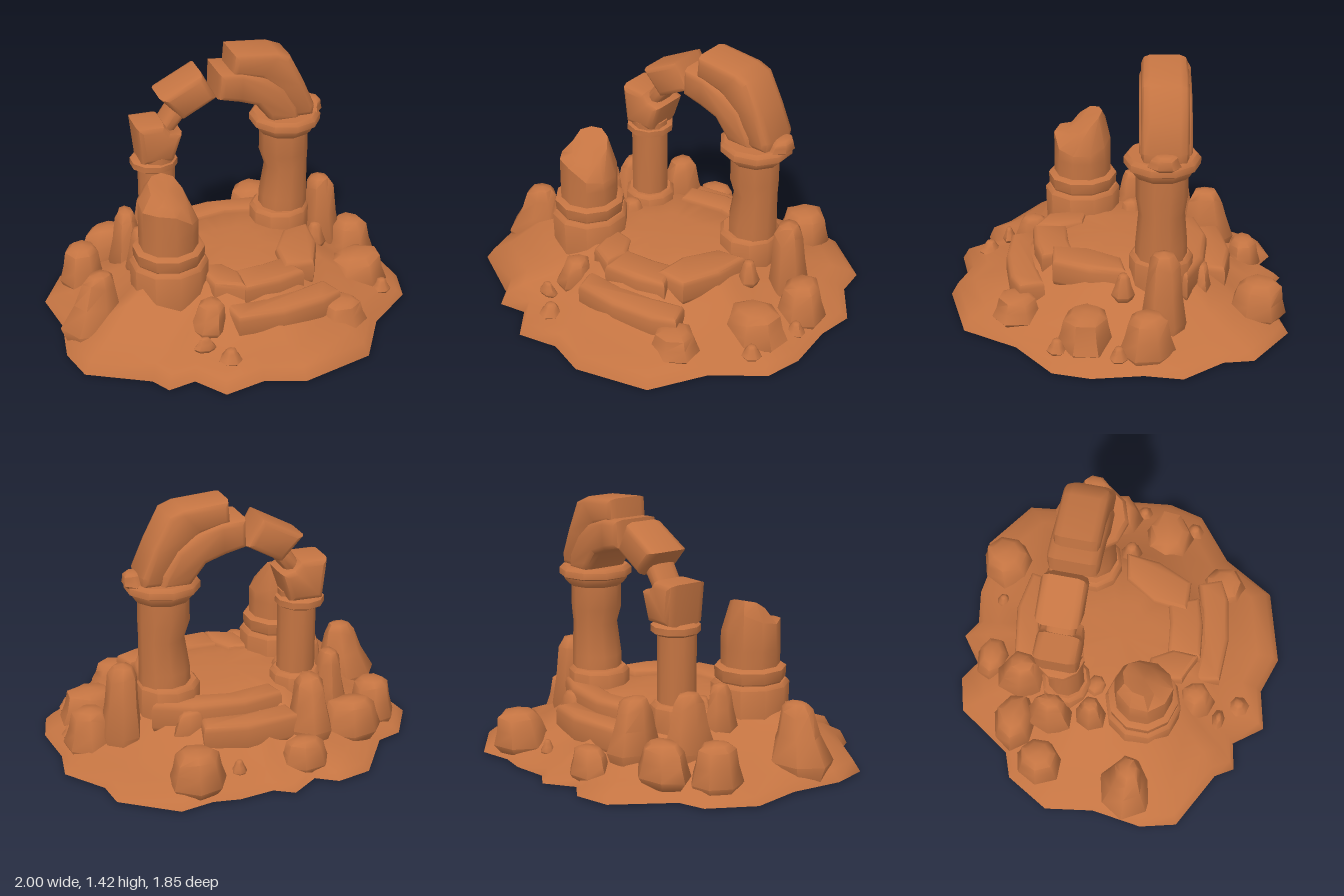
import * as THREE from 'three';
import { toCreasedNormals } from 'three/addons/utils/BufferGeometryUtils.js';

const hash = (n) => { const s = Math.sin(n * 127.1 + 3.7) * 43758.5453; return s - Math.floor(s); };

// Skin over stacked rings of points, with end caps closed to their centres
function loft(rings, { top = null, bottom = null, crease = 0.8 } = {}) {
  const n = rings[0].length, pos = rings.flat(2), idx = [];
  for (let i = 0; i < rings.length - 1; i++) {
    for (let j = 0; j < n; j++) {
      const a = i * n + j, b = i * n + (j + 1) % n;
      idx.push(a, a + n, b, b, a + n, b + n);
    }
  }
  const cap = (centre, start, flip) => {
    const c = pos.length / 3;
    pos.push(...centre);
    for (let j = 0; j < n; j++) {
      const a = start + j, b = start + (j + 1) % n;
      idx.push(c, flip ? a : b, flip ? b : a);
    }
  };
  if (bottom) cap(bottom, 0, true);
  if (top) cap(top, (rings.length - 1) * n, false);
  const g = new THREE.BufferGeometry();
  g.setAttribute('position', new THREE.Float32BufferAttribute(pos, 3));
  g.setIndex(idx);
  return toCreasedNormals(g, crease);
}

const ring = (x, y, z, rx, rz = rx, n = 10, f = () => 1) => Array.from({ length: n }, (_, j) => {
  const a = (j + 0.5) / n * Math.PI * 2, k = f(j);
  return [x + Math.cos(a) * rx * k, y, z + Math.sin(a) * rz * k];
});

// Round masonry: list of [y, radius, dx]
function drum(x, z, profile) {
  const rings = profile.map(([y, r, dx = 0]) => ring(x + dx, y, z, r));
  const last = profile[profile.length - 1];
  return loft(rings, { bottom: [x, profile[0][0], z], top: [x + (last[2] || 0), last[0], z] });
}

// Chunky boulder: bulging below, narrower leaning top with a soft crown
function rock(seed, x, z, y0, y1, rx, rz, top, lx = 0, lz = 0) {
  const h = y1 - y0, n = 7;
  const f = (j) => 0.98 + 0.14 * hash(seed * 17 + j);
  const levels = [[0, 0.78], [0.22, 1], [0.55, 0.35 + top * 0.65], [0.85, top], [0.97, top * 0.65]];
  const rings = levels.map(([t, s], i) => ring(x + lx * t, y0 + h * t, z + lz * t, rx * s, rz * s, n, f)
    .map(([px, py, pz], j) => [px, py + (i === 3 ? (hash(seed * 5 + j) - 0.6) * h * 0.15 : 0), pz]));
  return loft(rings, { bottom: [x, y0 - 0.015, z], top: [x + lx, y1, z + lz], crease: 1 });
}

// Bevelled slab from an outline
function bevelled(points, thickness, bevel) {
  const shape = new THREE.Shape(points.map(([x, y]) => new THREE.Vector2(x, y)));
  const g = new THREE.ExtrudeGeometry(shape, {
    depth: thickness - 2 * bevel, bevelThickness: bevel, bevelSize: bevel * 0.7, bevelOffset: -bevel * 0.7, bevelSegments: 2,
  });
  return g.translate(0, 0, bevel);
}
const paving = (pts, y0, y1) => toCreasedNormals(
  bevelled(pts.map(([x, z]) => [x, -z]), y1 - y0, 0.035).rotateX(-Math.PI / 2).translate(0, y0, 0), 0.8);
const archStone = (pts, z0, z1) => toCreasedNormals(bevelled(pts, z1 - z0, 0.045).translate(0, 0, z0), 0.8);

export function createModel() {
  const model = new THREE.Group();
  const stone = new THREE.MeshStandardMaterial({ color: 0xc47442 });
  stone.name = 'sandstone';
  stone.side = THREE.DoubleSide;
  const add = (name, geometry) => {
    const m = new THREE.Mesh(geometry, stone);
    m.name = name;
    model.add(m);
  };

  // Ground mound: ragged outline shrinking inward while it rises, open below
  const outline = [
    [1, 0.12], [0.95, 0.32], [0.7, 0.52], [0.53, 0.81], [0.13, 0.92], [-0.08, 0.85], [-0.3, 0.9], [-0.42, 0.74],
    [-0.57, 0.77], [-0.63, 0.67], [-0.95, 0.5], [-1, 0.3], [-0.96, 0.02], [-1, -0.25], [-0.86, -0.49], [-0.72, -0.54],
    [-0.52, -0.84], [-0.33, -0.89], [-0.22, -0.82], [-0.07, -0.93], [0.03, -0.87], [0.22, -0.9], [0.36, -0.88],
    [0.54, -0.92], [0.82, -0.72], [0.84, -0.56], [1, -0.35], [0.97, -0.15]];
  const levels = [[1, 0.015], [0.96, 0.05], [0.86, 0.085], [0.69, 0.15], [0.54, 0.255], [0.43, 0.325], [0.2, 0.345]];
  const mound = levels.map(([s, y], i) => outline.map(([x, z], j) => {
    const px = x * s, pz = z * s, dx = px + 0.58, dz = pz - 0.36;
    const hill = i > 0 ? 0.17 * Math.exp(-dx * dx / (dx > 0 ? 0.025 : 0.07) - dz * dz / 0.055) : 0;
    const lip = i === 1 || i === 2 ? 0.03 * THREE.MathUtils.smoothstep(pz, 0.5, 0.8) : 0;
    const bump = i > 1 && i < 5 ? (hash(i * 31 + j) - 0.5) * 0.025 : 0;
    return [px, y + hill + lip + bump, pz];
  }));
  add('ground', loft(mound, { top: [0, 0.35, 0], crease: 1.3 }));

  // Curved steps and paving slabs, front and back
  add('frontLowerStep', paving([[-0.17, 0.45], [0, 0.46], [0.25, 0.43], [0.43, 0.38], [0.48, 0.51], [0.36, 0.57],
    [0.12, 0.61], [-0.13, 0.6]], 0.11, 0.265));
  add('frontUpperStep', paving([[-0.06, 0.28], [0.12, 0.26], [0.24, 0.23], [0.31, 0.4], [0.15, 0.45], [-0.05, 0.47]], 0.2, 0.36));
  add('leftSlab', paving([[-0.24, 0.17], [-0.1, 0.19], [-0.03, 0.31], [-0.04, 0.46], [-0.2, 0.39]], 0.2, 0.365));
  add('rightSlab', paving([[0.34, -0.03], [0.5, -0.06], [0.48, 0.14], [0.39, 0.34], [0.21, 0.35], [0.23, 0.15]], 0.21, 0.37));
  add('backLowerStep', paving([[-0.22, -0.58], [0.08, -0.63], [0.31, -0.59], [0.29, -0.46], [0.05, -0.48], [-0.2, -0.44]], 0.12, 0.285));
  add('backUpperStep', paving([[-0.18, -0.44], [0.05, -0.5], [0.33, -0.47], [0.53, -0.38], [0.46, -0.29], [0.1, -0.36], [-0.15, -0.31]], 0.19, 0.36));

  // Right column with a waist worn into one side, base ring and capital
  add('rightColumnBase', drum(0.395, -0.24, [[0.25, 0.168], [0.41, 0.17], [0.43, 0.15]]));
  add('rightColumnShaft', drum(0.415, -0.24, [[0.38, 0.138], [0.5, 0.137], [0.68, 0.122, 0.014], [0.77, 0.138], [0.93, 0.137]]));
  add('rightColumnCapital', drum(0.42, -0.24, [[0.9, 0.15], [0.925, 0.172], [0.945, 0.178], [0.955, 0.2], [0.99, 0.2], [1.01, 0.18]]));
  add('capitalRubble', rock(3, 0.56, -0.25, 0.985, 1.065, 0.07, 0.085, 0.75, 0.02));

  // Left column, slimmer, with a thin collar
  add('leftColumnBase', drum(-0.33, -0.25, [[0.25, 0.14], [0.38, 0.14], [0.4, 0.12]]));
  add('leftColumnShaft', drum(-0.33, -0.25, [[0.36, 0.104], [0.86, 0.104]]));
  add('leftColumnCollar', drum(-0.34, -0.265, [[0.77, 0.105], [0.785, 0.132], [0.82, 0.132], [0.835, 0.105]]));

  // Arch stones, from the left springer round to the right
  add('archSpringer', archStone([[-0.43, 0.83], [-0.25, 0.83], [-0.195, 0.99], [-0.265, 1.01], [-0.3, 1.055], [-0.455, 1.055]], -0.39, -0.15));
  add('archLink', archStone([[-0.34, 0.99], [-0.26, 0.96], [-0.15, 1.1], [-0.22, 1.17]], -0.35, -0.19));
  add('archBlock', archStone([[-0.315, 1.2], [-0.19, 1.065], [0.003, 1.17], [-0.08, 1.325]], -0.4, -0.16));
  add('archInnerCurve', archStone([[0, 1.17], [0.12, 1.14], [0.22, 1.105], [0.28, 1.03], [0.31, 0.99], [0.47, 0.99],
    [0.46, 1.07], [0.38, 1.19], [0.28, 1.27], [0.14, 1.315], [0.005, 1.325]], -0.395, -0.12));
  add('archOuterCurve', archStone([[0.08, 1.3], [0.24, 1.26], [0.35, 1.17], [0.43, 1.0], [0.555, 1.0], [0.565, 1.06],
    [0.5, 1.21], [0.415, 1.375], [0.34, 1.405], [0.09, 1.425]], -0.375, -0.13));

  // Broken column: plinth, ring and shaft snapped off around a tall back shard
  const bx = -0.395, bz = 0.2;
  add('brokenColumnPlinth', drum(bx, bz, [[0.22, 0.208], [0.44, 0.213], [0.46, 0.195]]));
  add('brokenColumnRing', drum(bx, bz, [[0.44, 0.17], [0.47, 0.192], [0.53, 0.195], [0.545, 0.17]]));
  const rim = [0.69, 0.71, 0.78, 0.79, 0.78, 0.8, 0.84, 0.75, 0.72, 0.69];
  const crown = [0.8, 0.78, 0.79, 0.81, 0.86, 0.9, 0.91, 0.91, 0.89, 0.84];
  const snapped = [0.5, 0.64].map((y) => ring(bx, y, bz, 0.161));
  snapped.push(ring(bx, 0, bz, 0.16).map(([x, , z], j) => [x, rim[j], z]));
  snapped.push(ring(bx, 0, bz - 0.015, 0.1).map(([x, , z], j) => [x, crown[j], z]));
  add('brokenColumnShaft', loft(snapped, { bottom: [bx, 0.5, bz], top: [bx, 0.86, bz], crease: 0.7 }));

  // Boulders: x, z, bottom, top, half width, half depth, top taper, lean
  const boulders = [
    [-0.82, 0.19, 0.03, 0.425, 0.175, 0.15, 0.48, 0.045, 0],
    [-0.755, -0.33, 0.03, 0.3, 0.125, 0.14, 0.72],
    [-0.56, -0.51, 0.06, 0.29, 0.165, 0.125, 0.75],
    [-0.305, -0.525, 0.1, 0.465, 0.115, 0.145, 0.64, 0, 0.02],
    [-0.5, -0.31, 0.1, 0.5, 0.105, 0.15, 0.58],
    [-0.2, -0.72, 0.03, 0.21, 0.135, 0.1, 0.75],
    [0.4, -0.75, 0.03, 0.265, 0.145, 0.155, 0.75, 0.01, -0.02],
    [0.665, -0.25, 0.05, 0.555, 0.105, 0.125, 0.7, -0.02, 0],
    [0.81, -0.17, 0.02, 0.285, 0.14, 0.145, 0.68],
    [0.725, 0.15, 0.03, 0.25, 0.18, 0.145, 0.75],
    [0.48, 0.52, 0.06, 0.215, 0.135, 0.135, 0.72],
    [-0.27, 0.48, 0.13, 0.32, 0.1, 0.11, 0.65, 0.03, 0],
    [-0.48, -0.08, 0.2, 0.5, 0.08, 0.09, 0.62],
    [-0.32, -0.08, 0.24, 0.39, 0.08, 0.07, 0.65],
    [0.34, -0.46, 0.17, 0.33, 0.1, 0.05, 0.65],
    [0.54, -0.04, 0.22, 0.37, 0.06, 0.06, 0.55],
  ];
  boulders.forEach((b, i) => add('boulder' + (i + 1), rock(i + 11, ...b)));

  // Pebbles scattered over the slopes
  const pebbles = [[-0.33, 0.63, 0.16, 0.06, 0.035], [-0.22, 0.73, 0.13, 0.06, 0.06], [0.17, -0.74, 0.11, 0.04, 0.04],
    [0.88, -0.02, 0.09, 0.055, 0.05], [0.82, 0.3, 0.1, 0.055, 0.05]];
  pebbles.forEach(([x, z, y, rx, rz], i) => add('pebble' + (i + 1), rock(i + 51, x, z, y - 0.04, y + 0.04, rx, rz, 0.5)));

  return model;
}
